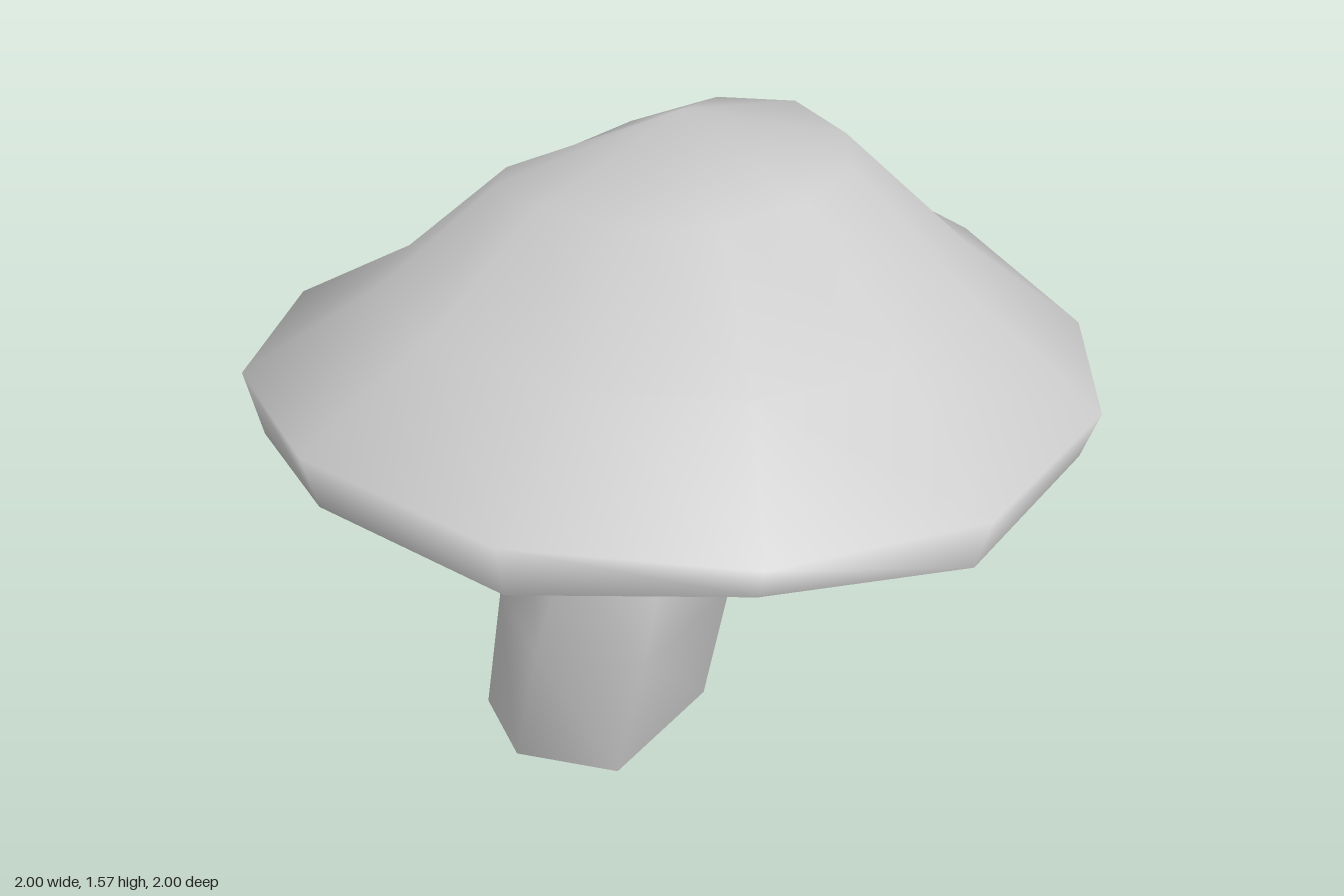
import * as THREE from 'three';

// Smooth skin through closed rings listed from bottom to top, ending at an optional apex
function skin(rings, apex) {
  const n = rings[0].length, idx = [];
  const pts = rings.flat();
  for (let r = 0; r < rings.length - 1; r++) {
    for (let k = 0; k < n; k++) {
      const a = r * n + k, b = r * n + (k + 1) % n;
      idx.push(a, a + n, b + n, a, b + n, b);
    }
  }
  if (apex) {
    const top = pts.length, base = top - n;
    pts.push(apex);
    for (let k = 0; k < n; k++) idx.push(base + k, top, base + (k + 1) % n);
  }
  return toGeometry(pts, idx);
}

// Downward-facing fan that closes a ring
function underside(ring) {
  const n = ring.length, idx = [];
  const centre = [0, 1, 2].map(i => ring.reduce((s, p) => s + p[i], 0) / n);
  for (let k = 0; k < n; k++) idx.push(n, k, (k + 1) % n);
  return toGeometry([...ring, centre], idx);
}

function toGeometry(pts, idx) {
  const g = new THREE.BufferGeometry();
  g.setAttribute('position', new THREE.Float32BufferAttribute(pts.flat(), 3));
  g.setIndex(idx);
  g.computeVertexNormals();
  return g;
}

export function createModel() {
  const group = new THREE.Group();
  const grey = new THREE.MeshStandardMaterial({ color: 0xcccccc });
  grey.name = 'lightGrey';
  const add = (name, geometry) => {
    const mesh = new THREE.Mesh(geometry, grey);
    mesh.name = name;
    group.add(mesh);
  };

  // Cap: twelve-sided rings, each with its own centre, radii and uneven heights
  const capRing = (cx, cz, rx, rz, heights) => heights.map((y, k) => {
    const t = (k * 30 - 4) * Math.PI / 180;
    return [cx + rx * Math.cos(t), y, cz + rz * Math.sin(t)];
  });
  const lip = capRing(-0.01, 0.01, 0.965, 0.965,
    [0.90, 0.88, 0.95, 0.945, 1.03, 1.0, 1.01, 0.90, 0.86, 0.805, 0.845, 0.83]);
  const rim = capRing(0, 0, 1.003, 1.003,
    [1.02, 1.0, 1.06, 1.07, 1.11, 1.13, 1.14, 1.06, 0.99, 0.94, 0.97, 0.99]);
  const slope = capRing(0.04, -0.03, 0.7, 0.73,
    [1.2, 1.21, 1.25, 1.28, 1.29, 1.29, 1.28, 1.22, 1.14, 1.07, 1.09, 1.15]);
  const crown = capRing(0.045, -0.075, 0.385, 0.455,
    [1.51, 1.52, 1.53, 1.535, 1.52, 1.49, 1.47, 1.43, 1.37, 1.33, 1.38, 1.46]);
  add('cap', skin([lip, rim, slope, crown], [0.1, 1.57, -0.11]));
  add('capUnderside', underside(lip));

  // Stem: an irregular hexagon that leans and narrows; entries are [xMin, xMax, zMin, zMax, y]
  const outline = [[0.98, 0.79], [0.35, 1], [0, 0.64], [0.1, 0.15], [0.43, 0], [1, 0.19]];
  const baseLift = [0.02, 0, 0.035, 0.02, 0, 0.02];
  const stemRing = ([x0, x1, z0, z1, y], i) => outline.map(([u, v], k) =>
    [x0 + (x1 - x0) * u, y + (i === 0 ? baseLift[k] : 0), z0 + (z1 - z0) * v]);
  const stem = [
    [-0.51, 0.03, -0.27, 0.2, 0.005],
    [-0.49, 0.035, -0.21, 0.3, 0.41],
    [-0.41, 0.06, -0.165, 0.29, 0.66],
    [-0.33, 0.07, -0.165, 0.24, 0.95],
  ].map(stemRing);
  add('stem', skin(stem));
  add('stemBase', underside(stem[0]));

  return group;
}
